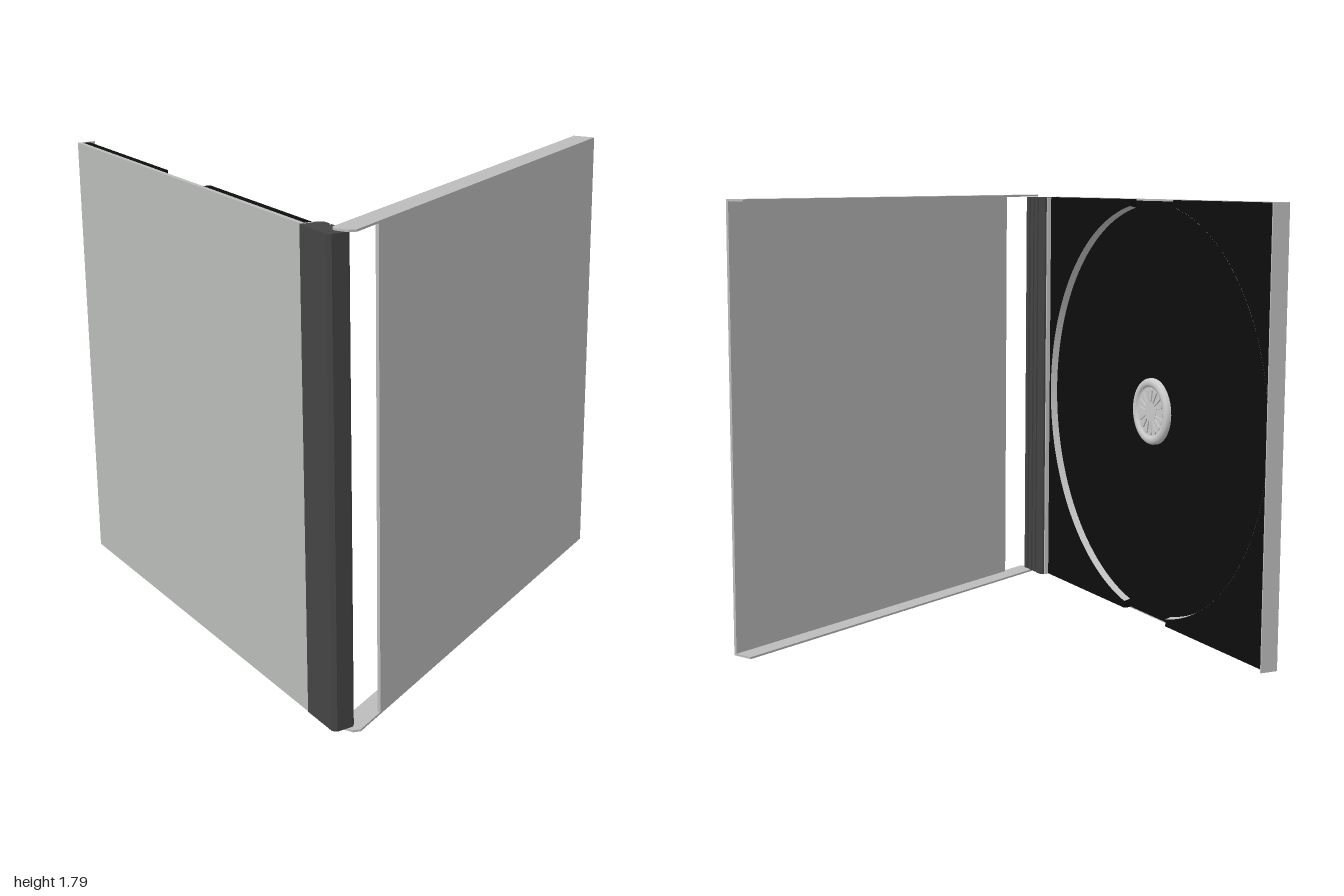
import * as THREE from 'three';

const mat = (name, color, side = THREE.FrontSide) => {
  const m = new THREE.MeshStandardMaterial({ color, side });
  m.name = name;
  return m;
};

export function createModel() {
  const model = new THREE.Group();
  model.name = 'openDiscCase';
  const clear = mat('clearGrey', 0xbabcba);
  const wallMat = mat('recessGrey', 0xbebebe, THREE.DoubleSide);
  const hubMat = mat('hubGrey', 0xcccccc);
  const dark = mat('spineDarkGrey', 0x444444);
  const black = mat('trayBlack', 0x0d0d0d);

  const add = (parent, name, geo, material) => {
    const m = new THREE.Mesh(geo, material);
    m.name = name;
    parent.add(m);
    return m;
  };
  // box given by its minimum and maximum corners
  const box = (parent, name, material, x0, x1, y0, y1, z0, z1) =>
    add(parent, name, new THREE.BoxGeometry(x1 - x0, y1 - y0, z1 - z0), material)
      .position.set((x0 + x1) / 2, (y0 + y1) / 2, (z0 + z1) / 2);

  // Lid: local x runs away from the hinge, local -z is the inside
  const lid = new THREE.Group();
  lid.name = 'lid';
  lid.position.set(-0.83, 0, 1.0);
  lid.rotation.y = 0.4818;
  model.add(lid);
  box(lid, 'lidPanel', clear, 0.158, 1.952, 0.008, 1.778, -0.012, 0);
  const flange = new THREE.Shape();
  flange.moveTo(0, 0.02);
  flange.lineTo(0.02, 0);
  flange.lineTo(1.952, 0);
  flange.lineTo(1.952, 0.09);
  flange.lineTo(0.03, 0.09);
  flange.quadraticCurveTo(0, 0.09, 0, 0.06);
  const flangeGeo = new THREE.ExtrudeGeometry(flange, { depth: 0.008, bevelEnabled: false });
  flangeGeo.rotateX(-Math.PI / 2);
  for (const [name, y] of [['lowerFlange', 0], ['upperFlange', 1.778]])
    add(lid, name, flangeGeo, clear).position.y = y;

  // Back cover with its end wall and the thin rib beside the spine
  box(model, 'backCover', clear, -0.903, -0.885, 0.01, 1.778, -1, 0.785);
  box(model, 'endWall', clear, -0.903, -0.83, 0.01, 1.778, -1, -0.994);
  box(model, 'spineRib', clear, -0.885, -0.835, 0.01, 1.775, 0.776, 0.785);

  // Spine: profile in x and -z, with grooves on the inner face
  const spine = new THREE.Shape();
  spine.moveTo(-0.89, -0.962);
  spine.lineTo(-0.828, -0.962);
  spine.lineTo(-0.816, -0.95);
  for (const z of [0.915, 0.875, 0.835]) {
    spine.lineTo(-0.816, -z - 0.007);
    spine.lineTo(-0.83, -z - 0.007);
    spine.lineTo(-0.83, -z + 0.007);
    spine.lineTo(-0.816, -z + 0.007);
  }
  spine.lineTo(-0.816, -0.795);
  spine.lineTo(-0.826, -0.785);
  spine.lineTo(-0.904, -0.785);
  spine.lineTo(-0.904, -0.948);
  const spineGeo = new THREE.ExtrudeGeometry(spine, { depth: 1.766, bevelEnabled: false });
  spineGeo.rotateX(-Math.PI / 2);
  add(model, 'spine', spineGeo, dark).position.y = 0.009;

  // Tray: thin floor and two raised pieces around the disc recess
  const CY = 0.895, CZ = -0.105, R = 0.87;
  const phi = Math.acos(0.17 / R);
  box(model, 'trayFloor', black, -0.886, -0.882, 0.016, 1.77, -0.994, 0.776);
  for (const [side, reach] of [[1, 0.889], [-1, 0.881]]) {
    const pt = (u, y) => new THREE.Vector2(-CZ + side * u, y);
    const pts = [pt(0.17, 0.012), pt(reach, 0.012), pt(reach, 1.776), pt(0.17, 1.776)];
    for (let i = 0; i <= 64; i++) {
      const a = phi - (2 * phi * i) / 64;
      pts.push(pt(R * Math.cos(a), CY + R * Math.sin(a)));
    }
    const geo = new THREE.ExtrudeGeometry(new THREE.Shape(pts), { depth: 0.031, bevelEnabled: false });
    geo.rotateY(Math.PI / 2);
    add(model, side > 0 ? 'trayOuterPiece' : 'trayHingePiece', geo, black).position.x = -0.884;

    // slightly sloped wall of the recess
    const mid = side > 0 ? Math.PI : 0;
    const wall = new THREE.CylinderGeometry(R - 0.0005, R - 0.008, 0.029, 64, 1, true, mid - phi, 2 * phi);
    wall.rotateZ(-Math.PI / 2);
    add(model, 'recessWall', wall, wallMat).position.set(-0.8675, CY, CZ);
  }

  // Hub: rounded rim, shallow dish and a ring of spring fingers
  const hub = new THREE.Group();
  hub.name = 'hub';
  hub.position.set(-0.884, CY, CZ);
  hub.rotation.z = -Math.PI / 2;
  model.add(hub);
  const rim = [[0.14, 0], [0.14, 0.014], [0.136, 0.022], [0.126, 0.027], [0.115, 0.027],
    [0.106, 0.023], [0.102, 0.014], [0, 0.014]].map(([r, y]) => new THREE.Vector2(r, y));
  add(hub, 'hubRim', new THREE.LatheGeometry(rim, 48), hubMat);

  const finger = new THREE.Shape();
  finger.moveTo(0.04, -0.004);
  finger.lineTo(0.088, -0.012);
  finger.absarc(0.088, 0, 0.012, -Math.PI / 2, Math.PI / 2, false);
  finger.lineTo(0.04, 0.004);
  const fingerGeo = new THREE.ExtrudeGeometry(finger, { depth: 0.008, bevelEnabled: false, curveSegments: 6 });
  fingerGeo.rotateX(-Math.PI / 2);
  for (let i = 0; i < 16; i++) {
    const f = add(hub, 'hubFinger', fingerGeo, hubMat);
    f.position.y = 0.012;
    f.rotation.y = (i / 16) * Math.PI * 2;
  }
  const core = new THREE.CylinderGeometry(0.042, 0.042, 0.006, 32);
  add(hub, 'hubCentre', core, hubMat).position.y = 0.016;

  return model;
}
